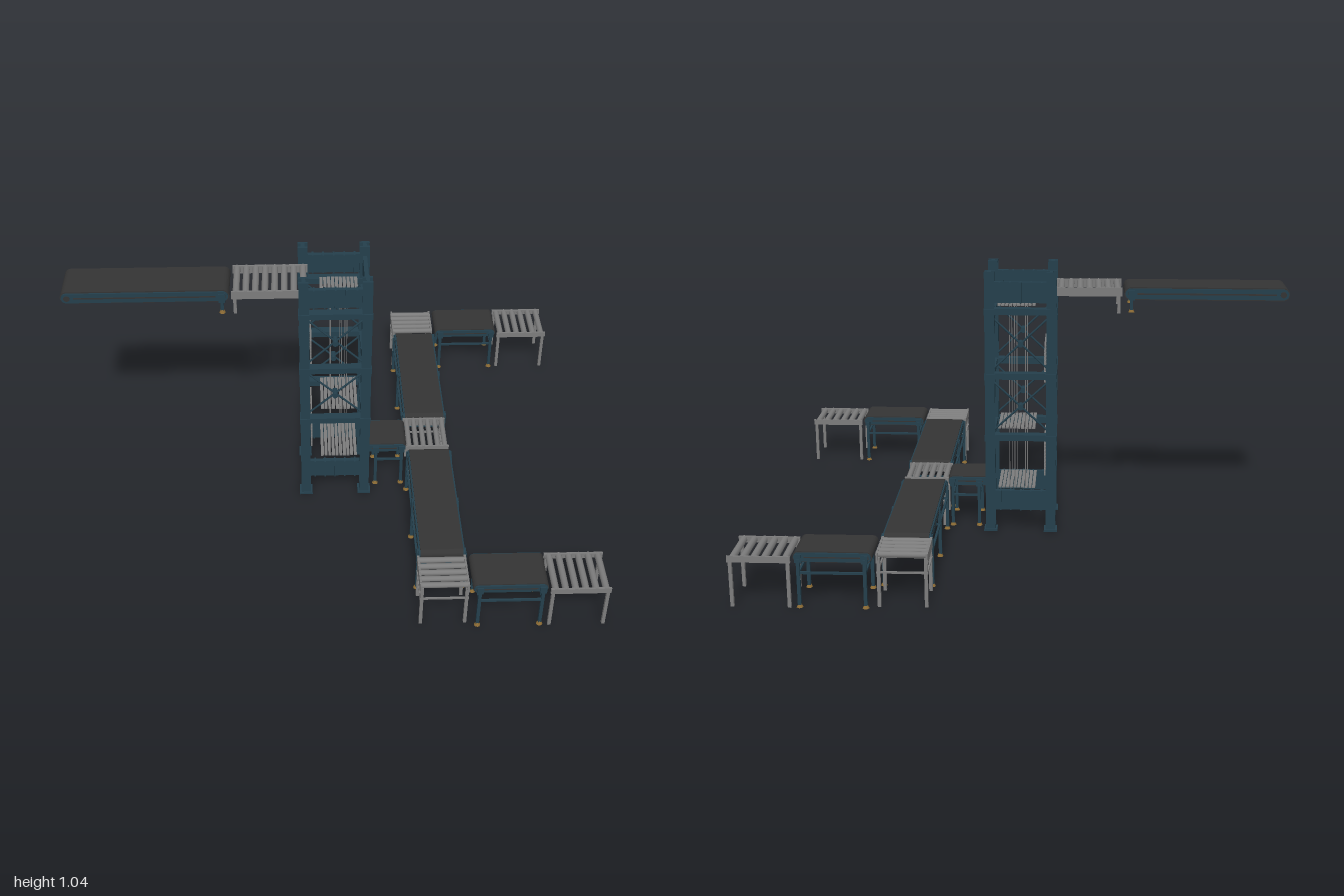
import * as THREE from 'three';

const mat = (name, color) => Object.assign(new THREE.MeshStandardMaterial({ color }), { name });
const navy = mat('navy steel', 0x243f4c);
const rubber = mat('belt rubber', 0x343434);
const grey = mat('roller grey', 0x7c7c7c);
const brass = mat('brass feet', 0x8a6a34);

function add(parent, name, geo, material, x = 0, y = 0, z = 0) {
  const m = new THREE.Mesh(geo, material);
  m.name = name;
  m.position.set(x, y, z);
  parent.add(m);
  return m;
}

// Box given by its limits
function box(parent, name, material, x0, x1, y0, y1, z0, z1) {
  return add(parent, name, new THREE.BoxGeometry(x1 - x0, y1 - y0, z1 - z0), material,
    (x0 + x1) / 2, (y0 + y1) / 2, (z0 + z1) / 2);
}

// Thin round bar between two points
function rod(parent, name, material, a, b, r) {
  const p = new THREE.Vector3(...a), q = new THREE.Vector3(...b), d = q.clone().sub(p);
  const m = add(parent, name, new THREE.CylinderGeometry(r, r, d.length(), 10), material);
  m.position.copy(p).add(q).multiplyScalar(0.5);
  m.quaternion.setFromUnitVectors(new THREE.Vector3(0, 1, 0), d.normalize());
  return m;
}

// Rounded-end loop extruded across the width
function stadium(len, h, depth) {
  const r = h / 2, c = len / 2 - r, s = new THREE.Shape();
  s.absarc(c, 0, r, -Math.PI / 2, Math.PI / 2);
  s.absarc(-c, 0, r, Math.PI / 2, Math.PI * 1.5);
  s.closePath();
  return new THREE.ExtrudeGeometry(s, { depth, bevelEnabled: false, curveSegments: 10 })
    .translate(0, 0, -depth / 2);
}

// Belt conveyor along local x; y = 0 is the top of the belt
function beltConveyor(name, len, w, h, legs, drop) {
  const g = new THREE.Group();
  g.name = name;
  add(g, 'belt', stadium(len, h, w - 0.012), rubber, 0, -h / 2, 0);
  for (const s of [-1, 1]) {
    const z = s * (w / 2 - 0.003);
    add(g, 'sideRail', stadium(len - 0.008, h * 0.8, 0.006), navy, 0, -h / 2, z);
    box(g, 'railGroove', rubber, -len / 2 + h, len / 2 - h, -h * 0.56, -h * 0.44, z - 0.004, z + 0.004);
    for (const e of [-1, 1])
      rod(g, 'endBearing', rubber, [e * (len / 2 - h / 2), -h / 2, z - 0.005], [e * (len / 2 - h / 2), -h / 2, z + 0.005], h * 0.24);
    for (const x of legs) {
      const lz = s * (w / 2 + 0.001);
      box(g, 'legBracket', navy, x - 0.012, x + 0.012, -h, -h * 0.25, lz - 0.004, lz + 0.005);
      box(g, 'leg', navy, x - 0.006, x + 0.006, -drop + 0.01, -h * 0.6, lz - 0.007, lz + 0.005);
      add(g, 'foot', new THREE.CylinderGeometry(0.005, 0.012, 0.014, 10), brass, x, -drop + 0.007, lz);
    }
    if (legs.length > 1)
      box(g, 'lengthBrace', navy, legs[0], legs[legs.length - 1], -0.081, -0.073, s * w / 2 - 0.004, s * w / 2 + 0.004);
  }
  for (const x of legs) if (drop > 0.1)
    box(g, 'crossBrace', navy, x - 0.004, x + 0.004, -0.081, -0.073, -w / 2, w / 2);
  return g;
}

// Roller table along local x, rollers across; y = 0 is the top of the rollers
function rollerTable(name, len, w, h, count, legs, drop, braced) {
  const g = new THREE.Group();
  g.name = name;
  const pitch = len / count, r = Math.min(pitch * 0.36, h / 2);
  for (let i = 0; i < count; i++) {
    const x = -len / 2 + pitch * (i + 0.5);
    rod(g, 'roller', grey, [x, -r, -w / 2], [x, -r, w / 2], r);
  }
  for (const s of [-1, 1]) {
    const z = s * (w / 2 - 0.004);
    box(g, 'sideRail', grey, -len / 2, len / 2, -h, -0.002, z - 0.004, z + 0.004);
    for (const x of legs)
      box(g, 'leg', grey, x - 0.006, x + 0.006, -drop, -h / 2, z - s * 0.004 - 0.006, z - s * 0.004 + 0.006);
    if (braced) box(g, 'lengthBrace', grey, legs[0], legs[1], -0.079, -0.072, z - 0.003, z + 0.003);
  }
  if (braced) for (const x of legs)
    box(g, 'crossBrace', grey, x - 0.003, x + 0.003, -0.079, -0.072, -w / 2, w / 2);
  return g;
}

// Lift tower frame, platforms and chains
function liftTower() {
  const g = new THREE.Group();
  g.name = 'liftTower';
  const cx = 0.0175, X0 = -0.1, X1 = 0.136, Z = 0.119, hw = 0.019;
  for (const x of [X0, X1]) for (const s of [-1, 1]) {
    const z = s * Z;
    // H-section post
    box(g, 'postWeb', navy, x - 0.007, x + 0.007, 0, 1.04, z - hw, z + hw);
    for (const e of [-1, 1])
      box(g, 'postFlange', navy, x - hw, x + hw, 0, 1.04, z + e * 0.016 - 0.004, z + e * 0.016 + 0.004);
    box(g, 'basePlate', navy, x - 0.026, x + 0.026, 0, 0.008, z - 0.026, z + 0.026);
  }
  // Front and back: ribbed panels, beams and crossed braces
  for (const s of [-1, 1]) {
    const z = s * Z;
    for (const [a, b] of [[0.085, 0.165], [0.92, 1.0]]) {
      box(g, 'panel', navy, X0, X1, a, b, z - 0.008, z + 0.008);
      for (let i = -2; i <= 2; i++)
        box(g, 'panelRib', navy, cx + i * 0.04 - 0.003, cx + i * 0.04 + 0.003, a, b, z - 0.014, z + 0.014);
    }
    for (const y of [0.385, 0.632, 0.886]) {
      box(g, 'beam', navy, X0, X1, y - 0.012, y + 0.012, z - 0.014, z + 0.02);
      for (const x of [X0, X1]) box(g, 'beamPlate', navy, x - 0.021, x + 0.021, y - 0.012, y + 0.012, z - 0.024, z + 0.024);
    }
    for (const [a, b] of [[0.4, 0.62], [0.648, 0.872]]) {
      rod(g, 'brace', navy, [X0, a, z], [X1, b, z], 0.004);
      rod(g, 'brace', navy, [X1, a, z], [X0, b, z], 0.004);
      rod(g, 'braceHub', navy, [cx, (a + b) / 2, z - 0.02], [cx, (a + b) / 2, z + 0.02], 0.011);
    }
  }
  // Left and right sides
  for (const x of [X0, X1]) {
    box(g, 'sidePanel', navy, x - 0.008, x + 0.008, 0.06, 0.14, -Z, Z);
    for (const y of [0.385, 0.635, 0.86]) box(g, 'sideBeam', navy, x - 0.016, x + 0.016, y - 0.011, y + 0.011, -Z, Z);
    for (const [a, b] of [[0.396, 0.624], [0.646, 0.85]]) {
      rod(g, 'sideBrace', navy, [x, a, -Z], [x, b, Z], 0.004);
      rod(g, 'sideBrace', navy, [x, b, -Z], [x, a, Z], 0.004);
      rod(g, 'sideBraceHub', navy, [x - 0.012, (a + b) / 2, 0], [x + 0.012, (a + b) / 2, 0], 0.011);
    }
  }
  box(g, 'topSidePanel', navy, X1 - 0.008, X1 + 0.008, 0.92, 1.0, -Z, Z);
  // Slatted platforms, flat on the rise and hanging on the return
  for (const y of [0.17, 0.415, 0.905])
    for (let i = 0; i < 10; i++)
      box(g, 'platformSlat', grey, -0.038 + i * 0.0148, -0.026 + i * 0.0148, y - 0.003, y + 0.003, -0.098, 0.098);
  for (const y of [0.22, 0.6])
    for (let i = 0; i < 10; i++)
      box(g, 'returnSlat', grey, -0.078, -0.072, y + i * 0.015, y + i * 0.015 + 0.0125, -0.098, 0.098);
  for (const x of [0, 0.042, 0.062]) for (const s of [-1, 1])
    rod(g, 'chain', grey, [x, 0.17, s * 0.092], [x, 0.905, s * 0.092], 0.0015);
  return g;
}

export function createModel() {
  const model = new THREE.Group();
  const put = (part, x, y, z, turn = 0) => {
    part.position.set(x, y, z);
    part.rotation.y = turn;
    model.add(part);
  };
  model.add(liftTower());

  // Upper infeed line
  put(beltConveyor('upperBelt', 0.625, 0.17, 0.05, [0.285], 0.095), -0.6875, 0.975, 0);
  put(rollerTable('upperRollers', 0.285, 0.18, 0.035, 8, [-0.13], 0.1, false), -0.225, 0.975, 0);

  // Lower outfeed line and junction
  put(beltConveyor('outfeedBelt', 0.18, 0.16, 0.04, [-0.035, 0.07], 0.205), 0.22, 0.205, 0);
  put(rollerTable('junctionRollers', 0.175, 0.18, 0.038, 6, [-0.07, 0.07], 0.203, true), 0.393, 0.203, 0);

  // Branches mirrored front and back
  for (const s of [-1, 1]) {
    const turn = -s * Math.PI / 2;
    put(beltConveyor('branchBelt', 0.59, 0.172, 0.04, [-0.27, 0.005, 0.275], 0.205), 0.397, 0.205, s * 0.395, turn);
    put(rollerTable('cornerRollers', 0.155, 0.18, 0.038, 5, [-0.068, 0.068], 0.203, true), 0.393, 0.203, s * 0.777, turn);
    put(beltConveyor('endBelt', 0.275, 0.165, 0.04, [-0.112, 0.118], 0.205), 0.632, 0.205, s * 0.778);
    put(rollerTable('endRollers', 0.22, 0.185, 0.025, 6, [-0.1, 0.1], 0.192, false), 0.885, 0.192, s * 0.78);
  }
  return model;
}
